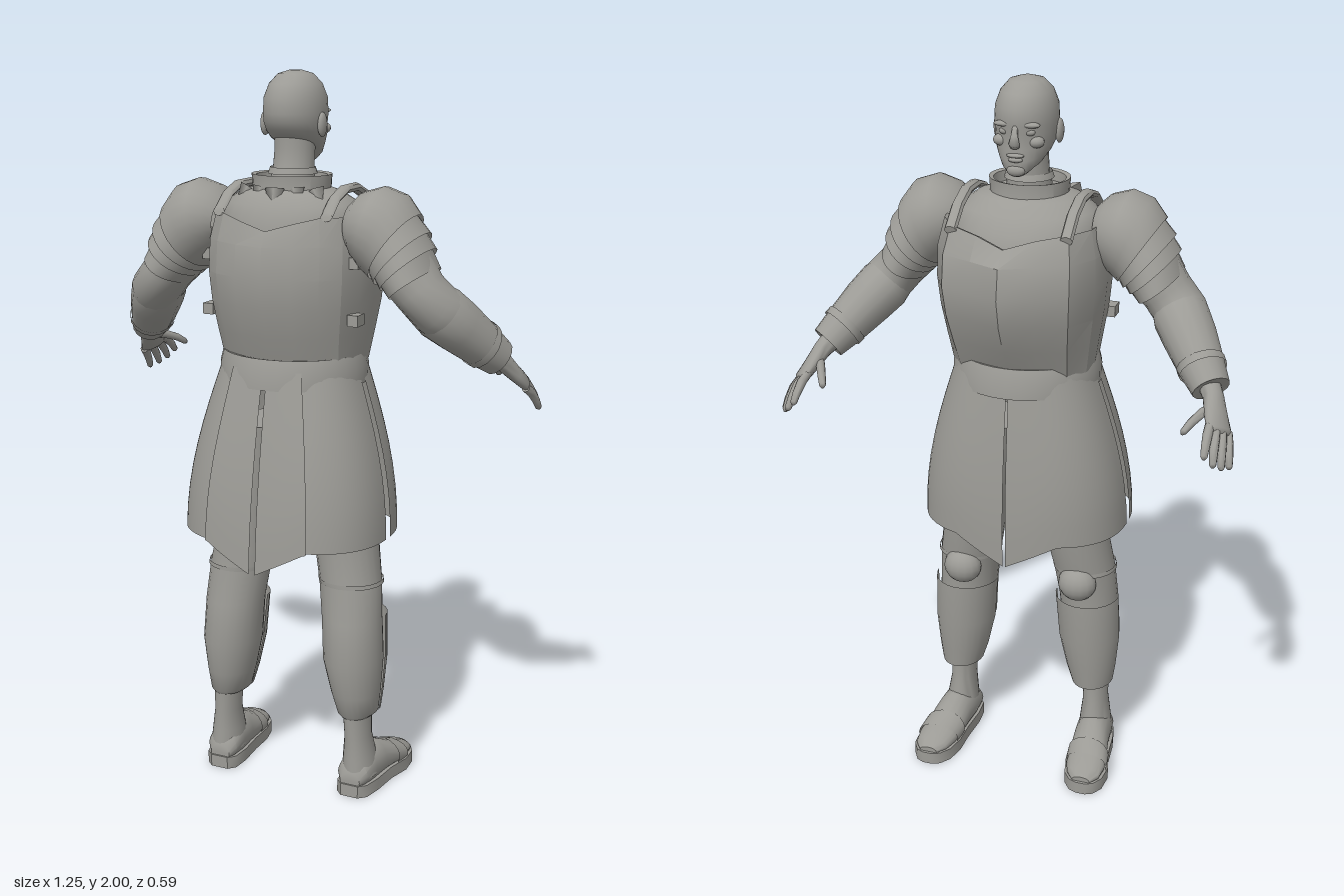
import * as THREE from 'three';
import { toCreasedNormals } from 'three/addons/utils/BufferGeometryUtils.js';

const V = (x, y, z) => new THREE.Vector3(x, y, z);

// Elliptical ring (or arc) of points around c with half axes u and v
function ring(c, u, v, n = 20, a0 = 0, a1 = Math.PI * 2) {
  const full = a1 - a0 > 6.28, pts = [];
  for (let i = 0; i < n; i++) {
    const a = a0 + (a1 - a0) * i / (full ? n : n - 1);
    pts.push(c.clone().addScaledVector(u, Math.cos(a)).addScaledVector(v, Math.sin(a)));
  }
  return pts;
}
// Level ring
const level = (x, y, z, rx, rz, n) => ring(V(x, y, z), V(rx, 0, 0), V(0, 0, rz), n);

// Skin a list of rings; closed rings wrap around, caps close the ends
function loft(rings, { closed = true, caps = true, crease = 0.75 } = {}) {
  const n = rings[0].length, pos = [], idx = [];
  rings.forEach(r => r.forEach(p => pos.push(p.x, p.y, p.z)));
  for (let j = 0; j < rings.length - 1; j++) {
    for (let i = 0; i < (closed ? n : n - 1); i++) {
      const a = j * n + i, b = j * n + (i + 1) % n;
      idx.push(a, b, a + n, b, b + n, a + n);
    }
  }
  if (closed && caps) {
    [0, rings.length - 1].forEach((j, end) => {
      const m = rings[j].reduce((s, p) => s.add(p), V(0, 0, 0)).divideScalar(n), k = pos.length / 3;
      pos.push(m.x, m.y, m.z);
      for (let i = 0; i < n; i++) {
        const a = j * n + i, b = j * n + (i + 1) % n;
        end ? idx.push(a, b, k) : idx.push(b, a, k);
      }
    });
  }
  // Turn faces outward when the enclosed volume is negative
  const at = i => V(pos[i * 3], pos[i * 3 + 1], pos[i * 3 + 2]);
  let vol = 0;
  for (let i = 0; i < idx.length; i += 3) vol += at(idx[i]).dot(at(idx[i + 1]).cross(at(idx[i + 2])));
  if (vol < 0) idx.reverse();
  const g = new THREE.BufferGeometry();
  g.setAttribute('position', new THREE.Float32BufferAttribute(pos, 3));
  g.setIndex(idx);
  return toCreasedNormals(g, crease);
}

// Rings along a path; each stop is [x, y, z, radius along ref, other radius]
function limb(stops, ref = V(0, 0, 1), n = 16) {
  const p = stops.map(s => V(s[0], s[1], s[2]));
  return stops.map((s, i) => {
    const t = p[Math.min(i + 1, p.length - 1)].clone().sub(p[Math.max(i - 1, 0)]).normalize();
    const u = ref.clone().addScaledVector(t, -ref.dot(t)).normalize(), v = t.clone().cross(u);
    return ring(p[i], u.multiplyScalar(s[3]), v.multiplyScalar(s[4] ?? s[3]), n);
  });
}

export function createModel() {
  const model = new THREE.Group();
  const grey = new THREE.MeshStandardMaterial({ color: 0x9c9b96, side: THREE.DoubleSide });
  grey.name = 'stone grey';
  const add = (name, geo, x = 0, y = 0, z = 0) => {
    const m = new THREE.Mesh(geo, grey);
    m.name = name;
    m.position.set(x, y, z);
    model.add(m);
    return m;
  };
  const pair = (name, rings, opts) => {
    add(name + 'Left', loft(rings, opts));
    add(name + 'Right', loft(rings.map(r => r.map(p => V(-p.x, p.y, p.z))), opts));
  };
  const blob = (name, x, y, z, sx, sy, sz) => add(name, new THREE.SphereGeometry(1, 16, 10), x, y, z).scale.set(sx, sy, sz);

  // Head: front height, back height, back z, front z, half width
  add('head', loft([
    [1.999, 1.999, 0.035, 0.0, 0.016], [1.99, 1.99, 0.07, -0.035, 0.045], [1.965, 1.965, 0.1, -0.066, 0.067],
    [1.93, 1.93, 0.117, -0.083, 0.08], [1.89, 1.89, 0.12, -0.086, 0.082], [1.868, 1.868, 0.115, -0.08, 0.081],
    [1.83, 1.85, 0.104, -0.083, 0.077], [1.80, 1.837, 0.092, -0.084, 0.068],
    [1.775, 1.825, 0.07, -0.086, 0.055], [1.76, 1.815, 0.03, -0.078, 0.036],
  ].map(([yf, yb, zb, zf, w]) => ring(V(0, (yf + yb) / 2, (zb + zf) / 2), V(w, 0, 0), V(0, (yb - yf) / 2, (zb - zf) / 2), 28)), { crease: 1.2 }));
  add('neck', loft([[1.66, 0.045, 0.07], [1.75, 0.03, 0.055], [1.8, 0.022, 0.054], [1.86, 0.025, 0.055]].map(([y, z, r]) => level(0, y, z, r, r))));
  add('nose', loft(limb([[0, 1.89, -0.08, 0.007], [0, 1.865, -0.088, 0.01], [0, 1.848, -0.092, 0.015, 0.011], [0, 1.837, -0.084, 0.012, 0.006]], V(1, 0, 0), 10), { crease: 1.5 }));
  blob('upperLip', 0, 1.816, -0.082, 0.024, 0.006, 0.01);
  blob('lowerLip', 0, 1.805, -0.081, 0.02, 0.007, 0.01);
  blob('chin', 0, 1.777, -0.076, 0.025, 0.016, 0.014);
  for (const s of [1, -1]) {
    blob('brow', s * 0.034, 1.893, -0.068, 0.028, 0.008, 0.014);
    blob('eye', s * 0.033, 1.874, -0.066, 0.015, 0.009, 0.01);
    blob('cheek', s * 0.045, 1.848, -0.053, 0.023, 0.016, 0.02);
    blob('ear', s * 0.083, 1.862, 0.03, 0.011, 0.032, 0.02);
  }

  // Collar and throat ring
  add('collar', loft([[1.66, 0.125, 0.105], [1.69, 0.105, 0.098], [1.735, 0.108, 0.1], [1.732, 0.096, 0.088], [1.68, 0.09, 0.085]]
    .map(([y, rx, rz]) => level(0, y, 0.04, rx, rz, 28)), { caps: false, crease: 0.5 }));
  add('throatRing', loft([[1.735, 0.066], [1.752, 0.06]].map(([y, r]) => level(0, y, 0.035, r, r, 24)), { caps: false }));
  for (let i = -2; i <= 2; i++) {
    const spike = add('collarSpike', new THREE.ConeGeometry(0.028, 0.07, 4), i * 0.055, 1.672, 0.155 - Math.abs(i) * 0.02);
    spike.rotation.set(2.75, 0, -i * 0.22);
    spike.scale.z = 0.4;
  }

  // Shoulders and upper chest
  add('upperChest', loft([[1.3, 0.18, 0.16, -0.13], [1.55, 0.2, 0.195, -0.16], [1.62, 0.2, 0.188, -0.135], [1.66, 0.185, 0.17, -0.105], [1.69, 0.14, 0.15, -0.07], [1.705, 0.09, 0.13, -0.045]]
    .map(([y, w, b, f]) => level(0, y, (b + f) / 2, w, (b - f) / 2, 28))));

  // Cuirass: ridged front, rounded back, dipped neckline
  const half = [[0, -1], [0.38, -0.86], [0.76, -0.72], [0.96, -0.36], [1, 0], [0.97, 0.36], [0.86, 0.64], [0.66, 0.83], [0.36, 0.95], [0, 1]];
  const outline = [...half, ...half.slice(1, -1).reverse().map(([x, z]) => [-x, z])];
  const cuirass = [[1.24, 0.195, 0.172, 0.14, 0], [1.32, 0.207, 0.2, 0.185, 0], [1.4, 0.219, 0.222, 0.222, 0], [1.48, 0.226, 0.231, 0.24, 0],
    [1.56, 0.224, 0.222, 0.226, 0.005], [1.6, 0.208, 0.202, 0.187, 0.037], [1.592, 0.196, 0.19, 0.165, 0.037]];
  add('cuirass', loft(cuirass.map(([y, w, b, f, dip]) =>
    outline.map(([x, z]) => V(x * w, y + dip * Math.min(1, Math.abs(x) * 1.6), z * (z < 0 ? f : b)))), { caps: false, crease: 0.42 }));
  pair('shoulderStrap', [[1.625, -0.145], [1.675, -0.085], [1.7, -0.02], [1.7, 0.05], [1.68, 0.11], [1.64, 0.16]]
    .map(([y, z]) => ring(V(0.155, y, z), V(0.017, 0, 0), V(0, 0.012, -0.004), 8)));
  for (const s of [1, -1]) {
    for (const y of [1.37, 1.52]) add('sideBuckle', new THREE.BoxGeometry(0.03, 0.03, 0.045), s * 0.213, y, 0.1);
  }

  // Belt
  add('belt', loft([[1.185, 0.204, 0.196], [1.23, 0.204, 0.192], [1.265, 0.196, 0.18], [1.262, 0.18, 0.165]]
    .map(([y, rx, rz]) => level(0, y, 0.025, rx, rz, 32)), { caps: false, crease: 0.4 }));

  // Skirt panels: angles run from the back centre, hem points meet at the middle
  const panel = (a0, a1, lift) => {
    const rows = [], box = v => Math.sign(v) * Math.abs(v) ** 0.8;
    for (let j = 0; j <= 8; j++) {
      const t = j / 8, k = Math.sin(t * Math.PI / 2), row = [];
      for (let i = 0; i <= 14; i++) {
        const a = a0 + (a1 - a0) * i / 14;
        const x = (0.19 + 0.1 * k + lift) * box(Math.sin(a));
        const z = 0.022 + 0.022 * t + (0.172 + 0.062 * k + lift) * box(Math.cos(a));
        const hem = 0.765 - 0.075 * Math.max(0, 1 - Math.abs(x) / 0.145);
        row.push(V(x, 1.235 + (hem - 1.235) * t, z));
      }
      rows.push(row);
    }
    return rows;
  };
  pair('backTasset', panel(0.012, 0.43, 0.012), { closed: false });
  pair('sideTasset', panel(0.36, 1.54, 0), { closed: false });
  pair('frontTasset', panel(1.6, 3.137, 0), { closed: false });

  // Pauldron dome and overlapping lames: outer edge, inner edge, depth
  const plate = ([ox, oy, ix, iy, rz]) => ring(V((ox + ix) / 2, (oy + iy) / 2, 0.055), V((ox - ix) / 2, (oy - iy) / 2, 0), V(0, 0, rz), 24);
  pair('pauldronDome', [[0.185, 1.67, 0.195, 1.54, 0.085], [0.215, 1.698, 0.205, 1.52, 0.108], [0.27, 1.714, 0.22, 1.5, 0.122],
    [0.325, 1.695, 0.235, 1.485, 0.125], [0.362, 1.645, 0.248, 1.475, 0.125]].map(plate), { caps: false });
  [[[0.35, 1.645, 0.25, 1.48, 0.116], [0.387, 1.6, 0.262, 1.462, 0.127]],
    [[0.372, 1.605, 0.265, 1.47, 0.115], [0.402, 1.56, 0.28, 1.448, 0.125]],
    [[0.388, 1.565, 0.28, 1.455, 0.112], [0.414, 1.51, 0.305, 1.428, 0.12]]]
    .forEach((edges, i) => pair('pauldronLame' + (i + 1), edges.map(plate), { caps: false }));

  // Arms, bracers and hands
  pair('upperArm', limb([[0.25, 1.62, 0.05, 0.085], [0.32, 1.52, 0.055, 0.08], [0.375, 1.45, 0.058, 0.08, 0.068], [0.415, 1.405, 0.045, 0.078, 0.07], [0.44, 1.375, 0.01, 0.07]]));
  pair('bracer', limb([[0.39, 1.43, 0.06, 0.062], [0.42, 1.395, 0.03, 0.079, 0.074], [0.455, 1.355, -0.012, 0.076, 0.07], [0.5, 1.3, -0.068, 0.066, 0.06], [0.535, 1.26, -0.108, 0.054, 0.05], [0.53, 1.265, -0.102, 0.04]]));
  pair('bracerCuff', limb([[0.495, 1.307, -0.062, 0.07, 0.064], [0.506, 1.294, -0.076, 0.069, 0.063]]), { caps: false });
  const across = V(0.045, -0.035, 0.04);
  pair('palm', limb([[0.525, 1.27, -0.095, 0.03], [0.545, 1.245, -0.125, 0.03, 0.025], [0.56, 1.215, -0.16, 0.038, 0.021], [0.577, 1.185, -0.195, 0.042, 0.017], [0.581, 1.177, -0.203, 0.035, 0.01]], across), { crease: 1.2 });
  const fingers = [['index', 0.555, 1.2, -0.213, 0.56, 1.145, -0.293], ['middle', 0.57, 1.19, -0.205, 0.582, 1.122, -0.285],
    ['ring', 0.585, 1.178, -0.193, 0.6, 1.108, -0.264], ['little', 0.598, 1.165, -0.178, 0.615, 1.1, -0.235], ['thumb', 0.545, 1.225, -0.145, 0.492, 1.185, -0.245]];
  for (const [name, x, y, z, tx, ty, tz] of fingers) {
    const mid = t => [x + (tx - x) * t, y + (ty - y) * t + 0.01 * Math.sin(t * Math.PI), z + (tz - z) * t];
    pair(name + 'Finger', limb([[...mid(-0.15), 0.012], [...mid(0.3), 0.0125], [...mid(0.7), 0.011], [...mid(0.94), 0.009], [...mid(1), 0.004]], across, 10), { crease: 1.2 });
  }

  // Legs with knee caps and greaves: height, centre x, half width, centre z, half depth
  const leg = ([y, x, rx, z, rz]) => level(x, y, z, rx, rz, 24);
  pair('leg', [[1.05, 0.11, 0.095, 0.01, 0.11], [0.76, 0.147, 0.089, 0.003, 0.1], [0.62, 0.172, 0.088, 0.022, 0.086], [0.52, 0.183, 0.084, 0.036, 0.088],
    [0.4, 0.19, 0.083, 0.04, 0.096], [0.3, 0.197, 0.068, 0.035, 0.082], [0.24, 0.202, 0.055, 0.031, 0.073], [0.232, 0.202, 0.045, 0.036, 0.062]].map(leg));
  pair('greave', [[0.53, 0.183, 0.092, 0.02, 0.094], [0.4, 0.19, 0.089, 0.026, 0.096], [0.3, 0.197, 0.073, 0.026, 0.083], [0.245, 0.202, 0.06, 0.026, 0.076]]
    .map(([y, x, rx, z, rz]) => ring(V(x, y, z), V(rx, 0, 0), V(0, 0, rz), 14, Math.PI, Math.PI * 2)), { closed: false });
  for (const s of [1, -1]) blob('kneeCap', s * 0.172, 0.597, -0.052, 0.055, 0.052, 0.046);
  pair('kneeBand', [[0.632, 0.172, 0.091, 0.022, 0.089], [0.62, 0.174, 0.091, 0.022, 0.089]].map(leg), { caps: false });

  // Boots: shaft, foot, instep strap and sole
  pair('ankle', [[0.25, 0.205, 0.038, 0.044, 0.054], [0.17, 0.208, 0.036, 0.042, 0.052], [0.11, 0.21, 0.044, 0.036, 0.06], [0.05, 0.212, 0.05, 0.034, 0.066]].map(leg));
  const foot = ([z, x, y, rx, ry]) => ring(V(x, y, z), V(rx, 0, 0), V(0, ry, 0), 18);
  pair('foot', [[0.1, 0.208, 0.045, 0.03, 0.025], [0.08, 0.209, 0.06, 0.046, 0.042], [0.03, 0.212, 0.068, 0.051, 0.066], [-0.03, 0.217, 0.066, 0.052, 0.062],
    [-0.09, 0.224, 0.054, 0.056, 0.044], [-0.14, 0.23, 0.047, 0.057, 0.031], [-0.18, 0.234, 0.043, 0.048, 0.022], [-0.207, 0.235, 0.039, 0.026, 0.012]].map(foot));
  pair('footStrap', [[-0.085, 0.224, 0.055, 0.061, 0.05], [-0.135, 0.23, 0.047, 0.062, 0.037]].map(foot), { caps: false });
  const edge = [[0.105, 0.208, 0.026], [0.085, 0.209, 0.046], [0.03, 0.213, 0.054], [-0.05, 0.22, 0.055], [-0.12, 0.229, 0.064], [-0.175, 0.233, 0.056], [-0.205, 0.235, 0.036], [-0.215, 0.236, 0.014]];
  const sole = [...edge.map(([z, x, w]) => [x + w, z]), ...edge.slice().reverse().map(([z, x, w]) => [x - w, z])];
  pair('sole', [0, 0.036].map(y => sole.map(([x, z]) => V(x, y, z))));

  return model;
}
